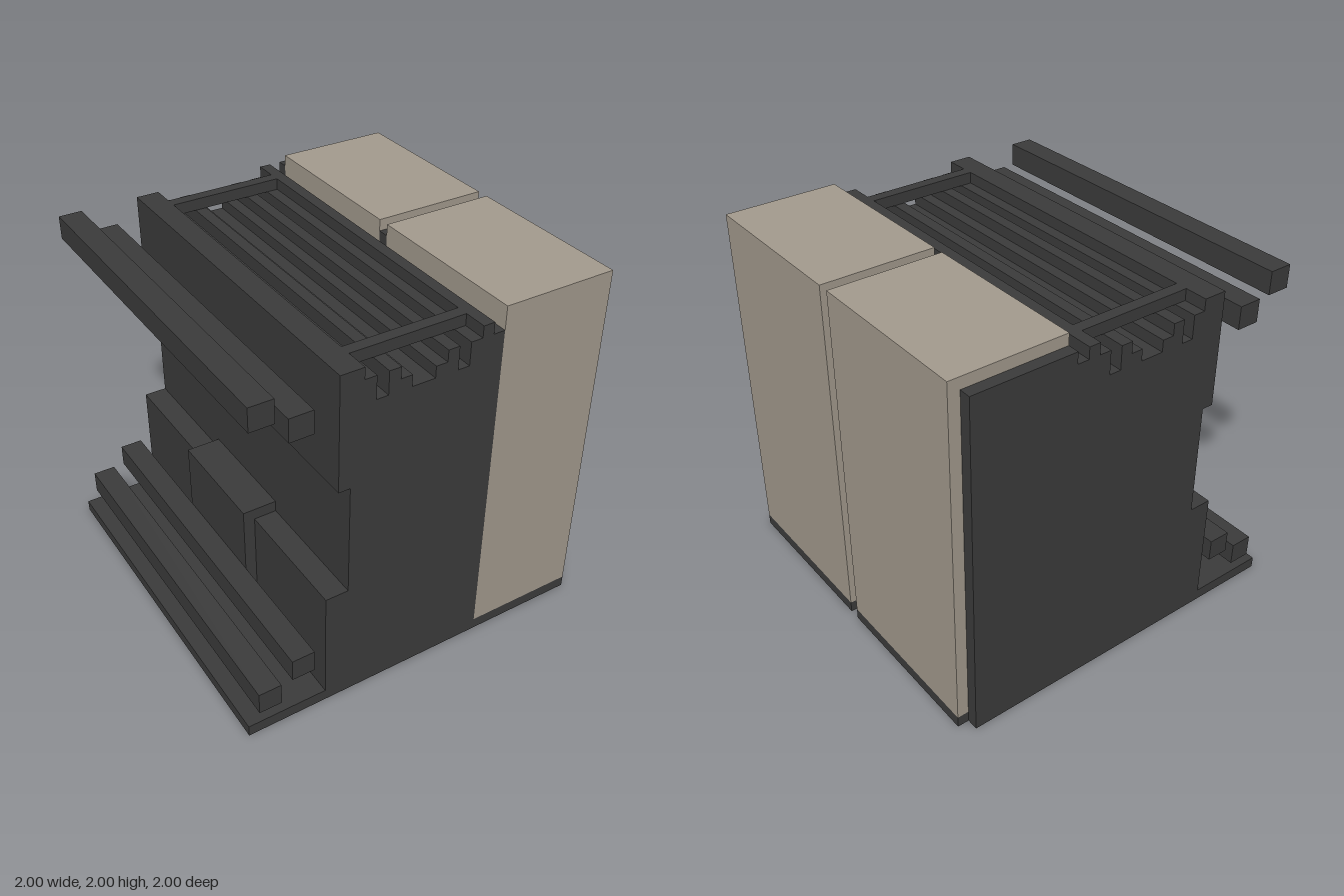
import * as THREE from 'three';

const U = 1 / 16; // every size below is counted in cells of this width

export function createModel() {
  const model = new THREE.Group();
  model.name = 'machineUnit';
  const dark = new THREE.MeshStandardMaterial({ color: 0x3c3c3c });
  dark.name = 'charcoal metal';
  const beige = new THREE.MeshStandardMaterial({ color: 0xa59c8f });
  beige.name = 'beige casing';

  // box given by its limits on each axis
  function box(name, [x0, x1], [y0, y1], [z0, z1], material = dark) {
    const geometry = new THREE.BoxGeometry((x1 - x0) * U, (y1 - y0) * U, (z1 - z0) * U);
    const mesh = new THREE.Mesh(geometry, material);
    mesh.position.set((x0 + x1) * U / 2, (y0 + y1) * U / 2, (z0 + z1) * U / 2);
    mesh.name = name;
    model.add(mesh);
  }

  // outline extruded along its normal
  function extrude(name, points, depth) {
    const shape = new THREE.Shape(points.map(([a, b]) => new THREE.Vector2(a * U, b * U)));
    const geometry = new THREE.ExtrudeGeometry(shape, { depth: depth * U, bevelEnabled: false });
    const mesh = new THREE.Mesh(geometry, dark);
    mesh.name = name;
    model.add(mesh);
    return mesh;
  }

  // base plate, notched on the right where the casings are parted (x, -z)
  const base = extrude('basePlate', [
    [-16, -16], [16, -16], [16, -1], [15, -1], [15, 0], [16, 0],
    [16, 15], [15, 15], [15, 16], [-16, 16],
  ], 1);
  base.rotation.x = -Math.PI / 2;

  // main body: stepped left side, grooved top
  const body = extrude('body', [
    [-9, 1], [6, 1], [6, 30], [5, 30], [5, 31], [4, 31], [4, 30],
    [3, 30], [3, 28], [2, 28], [2, 30], [1, 30], [1, 29], [0, 29], [0, 28],
    [-2, 28], [-2, 29], [-3, 29], [-3, 30], [-4, 30], [-4, 28], [-5, 28],
    [-5, 30], [-6, 30], [-6, 31], [-8, 31], [-8, 21], [-7, 21], [-7, 11], [-9, 11],
  ], 32);
  body.position.z = -16 * U;

  // raised block on the left ledge
  box('sideBlock', [-10, -7], [1, 12], [-5, 5]);

  // cross bars over the top grooves
  box('backCrossBar', [-6, 4], [30, 31], [-14, -13]);
  box('frontCrossBar', [-6, 4], [30, 31], [13, 14]);

  // beige casings with a dark partition behind each
  for (const [side, z] of [['back', -16], ['front', 0]]) {
    box(side + 'Partition', [6, 15], [1, 31], [z, z + 1]);
    box(side + 'Casing', [6, 16], [1, 32], [z + 1, z + 16], beige);
  }

  // free-standing rails along the left side
  for (const [name, x, y] of [
    ['upperOuterRail', -15, 29], ['upperInnerRail', -12, 27],
    ['lowerInnerRail', -12, 4], ['lowerOuterRail', -15, 2],
  ]) box(name, [x, x + 2], [y, y + 2], [-16, 16]);

  return model;
}
